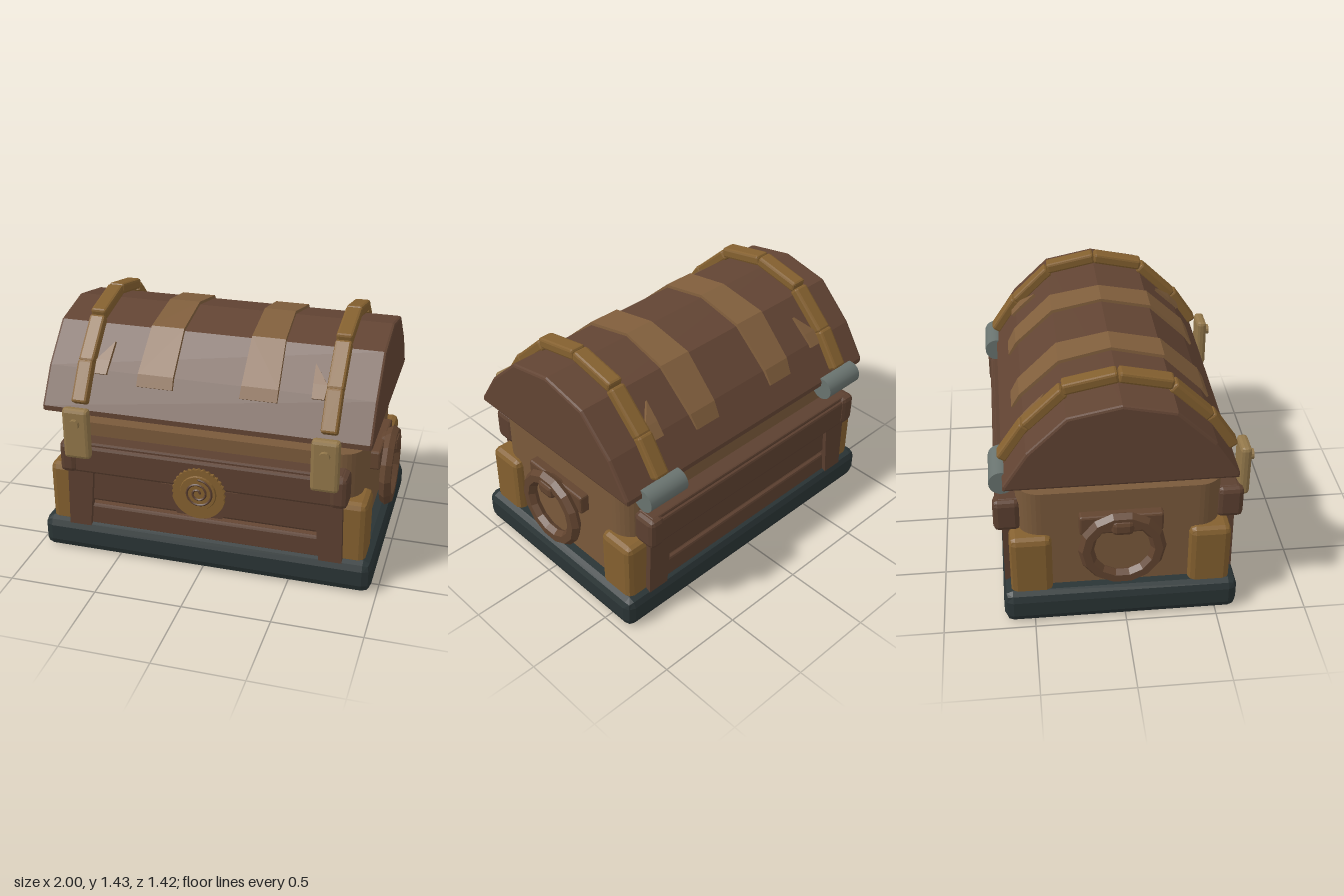
import * as THREE from 'three';
import { RoundedBoxGeometry } from 'three/addons/geometries/RoundedBoxGeometry.js';

const mat = (color, flatShading = true) => new THREE.MeshStandardMaterial({ color, flatShading, side: THREE.DoubleSide });
const M = {
  iron: mat(0x2a3435), body: mat(0x7a5a3b), panel: mat(0x5c4030), lid: mat(0x624433), ledge: mat(0x7a5640),
  gold: mat(0x84602f), clasp: mat(0x92774a), patch: mat(0x805e3c), ring: mat(0x62442f), steel: mat(0x69736f, false),
};

function add(parent, name, geometry, material, x = 0, y = 0, z = 0) {
  const mesh = new THREE.Mesh(geometry, material);
  mesh.name = name;
  mesh.position.set(x, y, z);
  parent.add(mesh);
  return mesh;
}

// Bevelled box given by its extents
function block(parent, name, material, [x0, x1], [y0, y1], [z0, z1], r = 0.015, seg = 1) {
  const g = new RoundedBoxGeometry(x1 - x0, y1 - y0, z1 - z0, seg, r);
  return add(parent, name, g, material, (x0 + x1) / 2, (y0 + y1) / 2, (z0 + z1) / 2);
}

const outline = (pts) => new THREE.Shape(pts.map(([x, y]) => new THREE.Vector2(x, y)));

// Flat shape pushed out from z0 to z1
function plate(pts, z0, z1) {
  return new THREE.ExtrudeGeometry(outline(pts), { depth: z1 - z0, bevelEnabled: false }).translate(0, 0, z0);
}

// Thin strip lying on the lid; each station is [z, y, xInner, xOuter]
function strip(stations) {
  const pos = [], idx = [];
  for (const [z, y, a, b] of stations) {
    const n = new THREE.Vector2(z, y - 0.72).normalize();
    for (const [x, lift] of [[a, -0.02], [a + 0.004, 0.016], [b - 0.004, 0.016], [b, -0.02]])
      pos.push(x, y + n.y * lift, z + n.x * lift);
  }
  for (let i = 0; i < stations.length - 1; i++)
    for (let j = 0; j < 4; j++) {
      const a = i * 4 + j, b = i * 4 + (j + 1) % 4;
      idx.push(a, b, a + 4, b, b + 4, a + 4);
    }
  const e = (stations.length - 1) * 4;
  idx.push(0, 2, 1, 0, 3, 2, e, e + 1, e + 2, e, e + 2, e + 3);
  const g = new THREE.BufferGeometry();
  g.setAttribute('position', new THREE.Float32BufferAttribute(pos, 3));
  g.setIndex(idx);
  g.computeVertexNormals();
  return g;
}

function makeBody() {
  const g = new THREE.Group();
  g.name = 'body';
  block(g, 'base', M.iron, [-0.965, 0.965], [0, 0.19], [-0.643, 0.643], 0.05, 1);

  // Box with rounded upright corners
  const w = 0.87, d = 0.553, r = 0.13;
  const s = new THREE.Shape();
  s.moveTo(w - r, -d).absarc(w - r, -d + r, r, -Math.PI / 2, 0);
  s.absarc(w - r, d - r, r, 0, Math.PI / 2);
  s.absarc(-w + r, d - r, r, Math.PI / 2, Math.PI);
  s.absarc(-w + r, -d + r, r, Math.PI, Math.PI * 1.5);
  const box = new THREE.ExtrudeGeometry(s, { depth: 0.65, bevelEnabled: false, curveSegments: 4 });
  add(g, 'box', box.rotateX(-Math.PI / 2), M.body, 0, 0.15, 0);

  // Corner guards
  for (const sx of [-1, 1]) for (const sz of [-1, 1]) {
    const guard = new RoundedBoxGeometry(0.2, 0.38, 0.228, 1, 0.035);
    add(g, 'cornerGuard', guard, M.gold, sx * 0.82, 0.343, sz * 0.486);
  }

  // Planked panel, repeated on front and back
  for (const turn of [0, Math.PI]) {
    const p = new THREE.Group();
    p.name = turn ? 'backPanel' : 'frontPanel';
    p.rotation.y = turn;
    g.add(p);
    block(p, 'panelBacking', M.ledge, [-0.72, 0.72], [0.17, 0.56], [0.53, 0.59], 0.005);
    block(p, 'lowerPlank', M.panel, [-0.7, 0.7], [0.17, 0.305], [0.54, 0.608]);
    block(p, 'upperPlank', M.panel, [-0.7, 0.7], [0.33, 0.56], [0.54, 0.608]);
    block(p, 'rail', M.panel, [-0.8, 0.8], [0.535, 0.7], [0.535, 0.665], 0.015);
    block(p, 'railTop', M.panel, [-0.79, 0.79], [0.68, 0.72], [0.535, 0.65], 0.01);
    for (const sx of [-1, 1]) {
      const post = plate([[-0.79, 0.56], [-0.8, 0.172], [-0.67, 0.172], [-0.635, 0.56]], 0.54, 0.632);
      if (sx > 0) post.rotateY(Math.PI).translate(0, 0, 1.172);
      add(p, 'post', post, M.panel);
      const cap = new RoundedBoxGeometry(0.1, 0.188, 0.145, 1, 0.028);
      add(p, 'railEnd', cap, M.panel, sx * 0.77, 0.624, 0.604);
    }
  }
  return g;
}

function makeLid() {
  const g = new THREE.Group();
  g.name = 'lid';
  const b = 0.015;
  const half = [[0.6, 0.89], [0.6, 0.9], [0.476, 1.09], [0.273, 1.285]];
  const pts = [...half, [0, 1.341], ...half.map(([z, y]) => [-z, y]).reverse()];
  const shell = new THREE.ExtrudeGeometry(outline(pts), {
    depth: 1.83, bevelThickness: b, bevelSize: b, bevelSegments: 2,
  });
  add(g, 'lidShell', shell.translate(0, 0, -0.915).rotateY(Math.PI / 2), M.lid);

  // Strap segments by outer line [z, y] to [z, y]
  const straps = [[0.642, 0.96, 0.507, 1.162], [0.505, 1.155, 0.3, 1.355], [0.292, 1.376, 0.006, 1.436]];
  const patch = [[0.522, 1.04, 0.185, 0.4], [0.49, 1.1, 0.188, 0.4], [0.28, 1.3, 0.19, 0.387], [0, 1.357, 0.188, 0.375],
    [-0.28, 1.3, 0.185, 0.39], [-0.49, 1.1, 0.195, 0.38], [-0.533, 1.02, 0.2, 0.37]];
  const chip = [[0.502, 1.08, 0.575, 0.65], [0.448, 1.14, 0.57, 0.657], [0.364, 1.22, 0.565, 0.572]];
  for (const sx of [-1, 1]) {
    for (const sz of [-1, 1]) {
      for (const [z0, y0, z1, y1] of straps) {
        const len = Math.hypot(z1 - z0, y1 - y0), t = 0.062;
        const a = Math.atan2(y1 - y0, z0 - z1);
        const seg = add(g, 'strapSegment', new RoundedBoxGeometry(0.092, t, len, 1, 0.014), M.gold, sx * 0.7,
          (y0 + y1) / 2 - Math.cos(a) * t / 2, sz * ((z0 + z1) / 2 - Math.sin(a) * t / 2));
        seg.rotation.x = sz * a;
      }
      const c = add(g, 'wornChip', strip(chip), M.patch);
      c.scale.set(sx, 1, sz);
    }
    add(g, 'wornPatch', strip(patch), M.patch).scale.x = sx;
  }
  return g;
}

function makeHandle(sx) {
  const g = new THREE.Group();
  g.name = sx > 0 ? 'leftHandle' : 'rightHandle';
  g.scale.x = sx;
  block(g, 'handlePlate', M.ring, [0.85, 0.925], [0.555, 0.67], [-0.225, 0.225], 0.012);
  const ring = new THREE.TorusGeometry(0.194, 0.043, 6, 14).scale(1, 1, 0.85).rotateY(Math.PI / 2);
  add(g, 'ring', ring, M.ring, 0.955, 0.483, 0);
  block(g, 'ringHolder', M.ring, [0.89, 1], [0.592, 0.68], [-0.06, 0.06], 0.025);
  return g;
}

function makeMedallion() {
  const g = new THREE.Group();
  g.name = 'medallion';
  add(g, 'bracket', plate([[-0.22, 0.54], [-0.13, 0.365], [0.13, 0.365], [0.22, 0.54]], 0.58, 0.645), M.panel);

  // Disc with a serrated upper rim
  const rim = [];
  for (let i = 0; i < 64; i++) {
    const a = i / 64 * Math.PI * 2;
    const r = Math.sin(a) > -0.2 && i % 2 ? 0.144 : 0.153;
    rim.push([Math.cos(a) * r, Math.sin(a) * r]);
  }
  add(g, 'disc', plate(rim, 0.625, 0.663), M.gold, 0, 0.514, 0);
  add(g, 'innerDisc', new THREE.CylinderGeometry(0.1, 0.105, 0.012, 28).rotateX(Math.PI / 2), M.gold, 0, 0.522, 0.667);

  // Raised spiral
  const curve = new THREE.CatmullRomCurve3(Array.from({ length: 28 }, (_, i) => {
    const a = i / 27 * Math.PI * 4.5, r = 0.012 + 0.075 * i / 27;
    return new THREE.Vector3(Math.cos(a) * r, Math.sin(a) * r, 0);
  }));
  add(g, 'spiral', new THREE.TubeGeometry(curve, 70, 0.007, 5), M.panel, 0, 0.522, 0.671);
  return g;
}

export function createModel() {
  const model = new THREE.Group();
  model.name = 'chest';
  const core = new THREE.Group();
  core.name = 'chestCore';
  core.position.z = -0.022;
  core.add(makeBody(), makeLid(), makeHandle(1), makeHandle(-1));
  model.add(core, makeMedallion());

  // Clasps and hinges
  for (const sx of [-1, 1]) {
    const x = sx * 0.698;
    block(model, 'clasp', M.clasp, [x - 0.077, x + 0.077], [0.643, 0.943], [0.63, 0.69], 0.02);
    add(model, 'claspStud', new THREE.CylinderGeometry(0.03, 0.03, 0.05, 12).rotateX(Math.PI / 2), M.clasp, x, 0.86, 0.688);
    add(model, 'hinge', new THREE.CylinderGeometry(0.067, 0.067, 0.26, 24).rotateZ(Math.PI / 2), M.steel, x, 0.857, -0.642);
  }
  return model;
}
